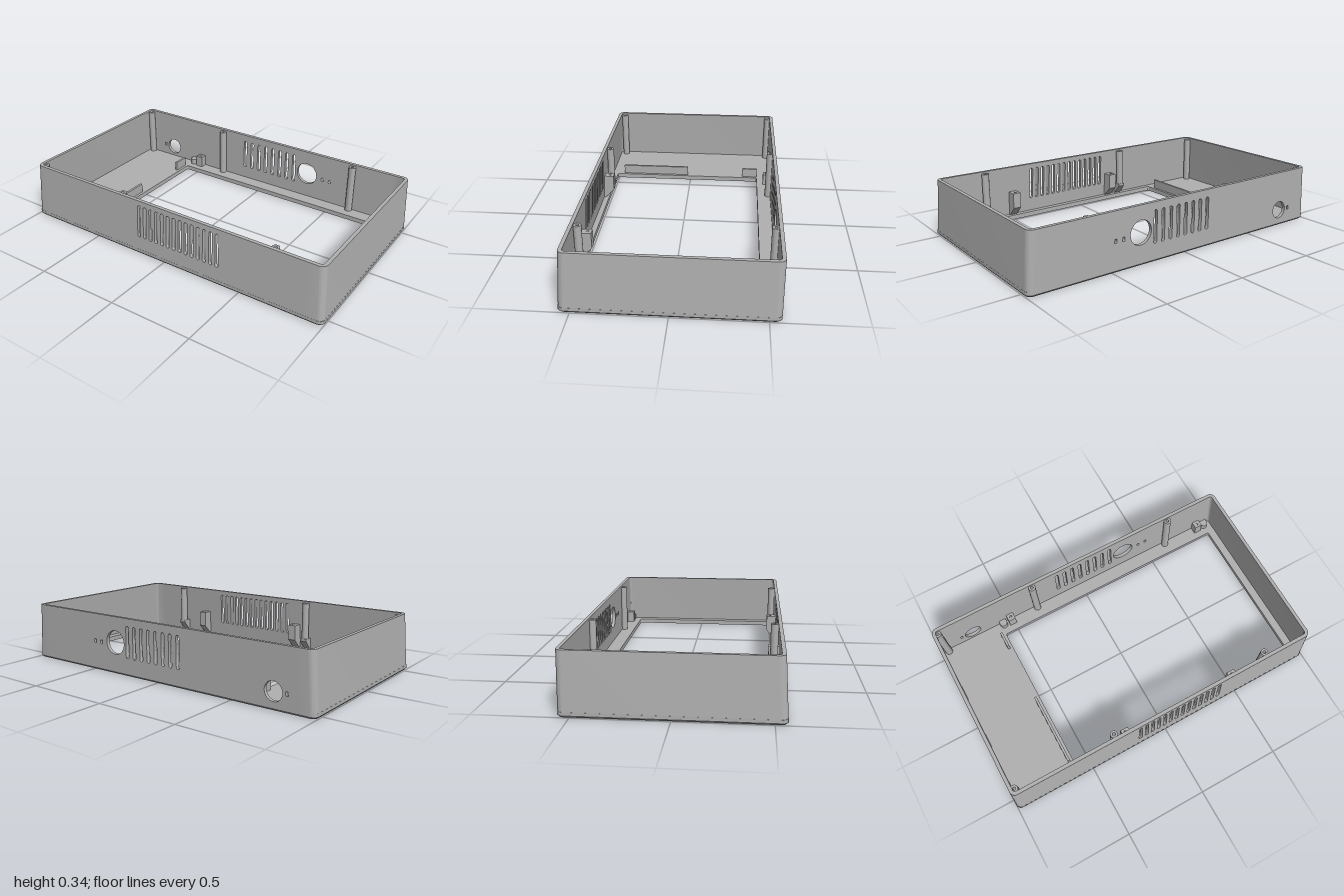
import * as THREE from 'three';
import { toCreasedNormals } from 'three/addons/utils/BufferGeometryUtils.js';

const H = 0.34, X = 1, Z = 0.565, T = 0.021, FLOOR = 0.028, EDGE = 0.01;

export function createModel() {
  const root = new THREE.Group();
  root.name = 'enclosure';
  const grey = new THREE.MeshStandardMaterial({ color: 0xb0b0b0 });
  grey.name = 'grey plastic';

  const add = (name, geo) => {
    const mesh = new THREE.Mesh(toCreasedNormals(geo, 0.5), grey);
    mesh.name = name;
    root.add(mesh);
    return mesh;
  };

  // rounded rectangle outline
  const roundRect = (Type, x0, y0, x1, y1, r) => {
    const s = new Type();
    s.moveTo(x0 + r, y0);
    s.lineTo(x1 - r, y0).absarc(x1 - r, y0 + r, r, -Math.PI / 2, 0);
    s.lineTo(x1, y1 - r).absarc(x1 - r, y1 - r, r, 0, Math.PI / 2);
    s.lineTo(x0 + r, y1).absarc(x0 + r, y1 - r, r, Math.PI / 2, Math.PI);
    s.lineTo(x0, y0 + r).absarc(x0 + r, y0 + r, r, Math.PI, Math.PI * 1.5);
    return s;
  };
  const circle = (Type, x, y, r) => new Type().absarc(x, y, r, 0, Math.PI * 2);

  // plan outline (x, z) raised from y0 to y1
  const raise = (shape, y0, y1) =>
    new THREE.ExtrudeGeometry(shape, { depth: y1 - y0, bevelEnabled: false, curveSegments: 10 })
      .rotateX(Math.PI / 2).translate(0, y1, 0);

  // draft angle: both ends and the front lean inward, the back is upright
  const taper = (geo) => {
    const p = geo.attributes.position;
    for (let i = 0; i < p.count; i++) {
      const t = p.getY(i) / H;
      p.setX(i, p.getX(i) * (1 - 0.02 * t));
      if (p.getZ(i) > 0.4) p.setZ(i, p.getZ(i) - 0.02 * t);
    }
    geo.computeVertexNormals();
    return geo;
  };

  // floor with the large window and a chamfered lower edge
  const floorShape = (inset) => {
    const s = roundRect(THREE.Shape, -X + inset, -Z + inset, X - inset, Z - inset, 0.03);
    s.holes.push(roundRect(THREE.Path, -0.585, -0.46, 0.93, 0.51, 0.012));
    return s;
  };
  add('floor', raise(floorShape(0.001), EDGE, FLOOR));
  const chamfer = raise(floorShape(0), 0, EDGE);
  const cp = chamfer.attributes.position;
  for (let i = 0; i < cp.count; i++) {
    if (cp.getY(i) > 0.001) continue;
    const x = cp.getX(i), z = cp.getZ(i);
    if (Math.abs(x) > 0.95 || Math.abs(z) > 0.53) {
      cp.setXYZ(i, x * (1 - 0.008 / X), 0, z * (1 - 0.008 / Z));
    }
  }
  chamfer.computeVertexNormals();
  add('chamferedEdge', chamfer);

  // end walls, each wrapping round two rounded corners
  const r = 0.035, ri = r - T, cut = 0.9;
  for (const side of [-1, 1]) {
    const s = new THREE.Shape();
    const cw = side < 0;
    const a = (v) => (cw ? Math.PI - v : v);
    const cx = side * (X - r), cz = Z - r;
    s.moveTo(side * cut, -Z);
    s.lineTo(cx, -Z).absarc(cx, -cz, r, a(-Math.PI / 2), a(0), cw);
    s.lineTo(side * X, cz).absarc(cx, cz, r, a(0), a(Math.PI / 2), cw);
    s.lineTo(side * cut, Z);
    s.lineTo(side * cut, Z - T);
    s.lineTo(cx, Z - T).absarc(cx, cz, ri, a(Math.PI / 2), a(0), !cw);
    s.lineTo(side * (X - T), -cz).absarc(cx, -cz, ri, a(0), a(-Math.PI / 2), !cw);
    s.lineTo(side * cut, -Z + T);
    add(side < 0 ? 'rightWall' : 'leftWall', taper(raise(s, EDGE, H)));
  }

  // front and back walls with vents and sockets
  const panel = (name, z, holes) => {
    const s = new THREE.Shape();
    s.moveTo(-cut, EDGE);
    s.lineTo(cut, EDGE).lineTo(cut, H).lineTo(-cut, H);
    s.holes.push(...holes);
    const geo = new THREE.ExtrudeGeometry(s, { depth: T, bevelEnabled: false, curveSegments: 16 });
    add(name, taper(geo.translate(0, 0, z)));
  };
  const slots = (n, x0, x1, y0, y1, w) => Array.from({ length: n }, (_, i) => {
    const x = x0 + (x1 - x0) * i / (n - 1);
    return roundRect(THREE.Path, x - w / 2, y0, x + w / 2, y1, w * 0.48);
  });
  panel('frontWall', Z - T, slots(14, -0.176, 0.362, 0.11, 0.31, 0.021));
  const small = (x, y) => roundRect(THREE.Path, x - 0.008, y - 0.012, x + 0.008, y + 0.012, 0.006);
  panel('backWall', -Z, [
    ...slots(8, -0.155, 0.222, 0.105, 0.295, 0.022),
    circle(THREE.Path, 0.32, 0.187, 0.07),
    circle(THREE.Path, -0.766, 0.1, 0.053),
    small(0.434, 0.175), small(0.485, 0.175),
    small(-0.845, 0.1), small(-0.9, 0.1),
  ]);

  // screw pillars with a bored centre
  const pillar = (name, x, z, y0, y1) => {
    const s = circle(THREE.Shape, x, z, 0.022);
    s.holes.push(circle(THREE.Path, x, z, 0.009));
    add(name, raise(s, y0, y1));
  };
  for (const x of [-0.95, -0.325, 0.63]) pillar('backPillar', x, -0.53, 0.02, 0.33);
  pillar('cornerPillar', -0.95, 0.505, 0.02, 0.33);
  for (const x of [-0.325, 0.685]) pillar('frontPillar', x, 0.505, 0.085, 0.33);

  // block from a (z, y) side profile, with width along x
  const block = (name, x, w, pts) => {
    const s = new THREE.Shape(pts.map(([z, y]) => new THREE.Vector2(z, y)));
    add(name, new THREE.ExtrudeGeometry(s, { depth: w, bevelEnabled: false })
      .rotateY(-Math.PI / 2).translate(x + w / 2, 0, 0));
  };
  // sloped feet under the front pillars
  for (const x of [-0.325, 0.685]) {
    block('pillarFoot', x, 0.046, [[0.482, 0.085], [0.535, 0.025], [0.545, 0.025], [0.54, 0.1], [0.482, 0.1]]);
  }
  // front mounting blocks, sloped beneath
  const screwDot = (x, y, z) => add('screwHole',
    new THREE.TorusGeometry(0.008, 0.0015, 6, 16).rotateX(Math.PI / 2).translate(x, y, z));
  for (const x of [-0.243, 0.493]) {
    block('frontMount', x, 0.05, [[0.475, 0.085], [0.535, 0.025], [0.545, 0.025], [0.535, 0.18], [0.475, 0.18]]);
    screwDot(x, 0.18, 0.497);
  }
  // back mounting blocks and low rounded bosses
  for (const [bx, px] of [[-0.51, -0.567], [0.87, 0.928]]) {
    block('backMount', bx, 0.046, [[-0.55, 0.02], [-0.5, 0.02], [-0.5, 0.1], [-0.55, 0.1]]);
    screwDot(bx, 0.1, -0.522);
    const s = new THREE.Shape();
    s.moveTo(px - 0.023, -0.55);
    s.lineTo(px + 0.023, -0.55).lineTo(px + 0.023, -0.523);
    s.absarc(px, -0.523, 0.023, 0, Math.PI);
    add('backBoss', raise(s, 0.02, 0.065));
  }

  // upright ribs beside the window
  for (const [z0, z1] of [[-0.46, -0.36], [0.02, 0.465]]) {
    add('floorRib', new THREE.BoxGeometry(0.015, 0.06, z1 - z0).translate(-0.61, 0.055, (z0 + z1) / 2));
  }
  return root;
}
